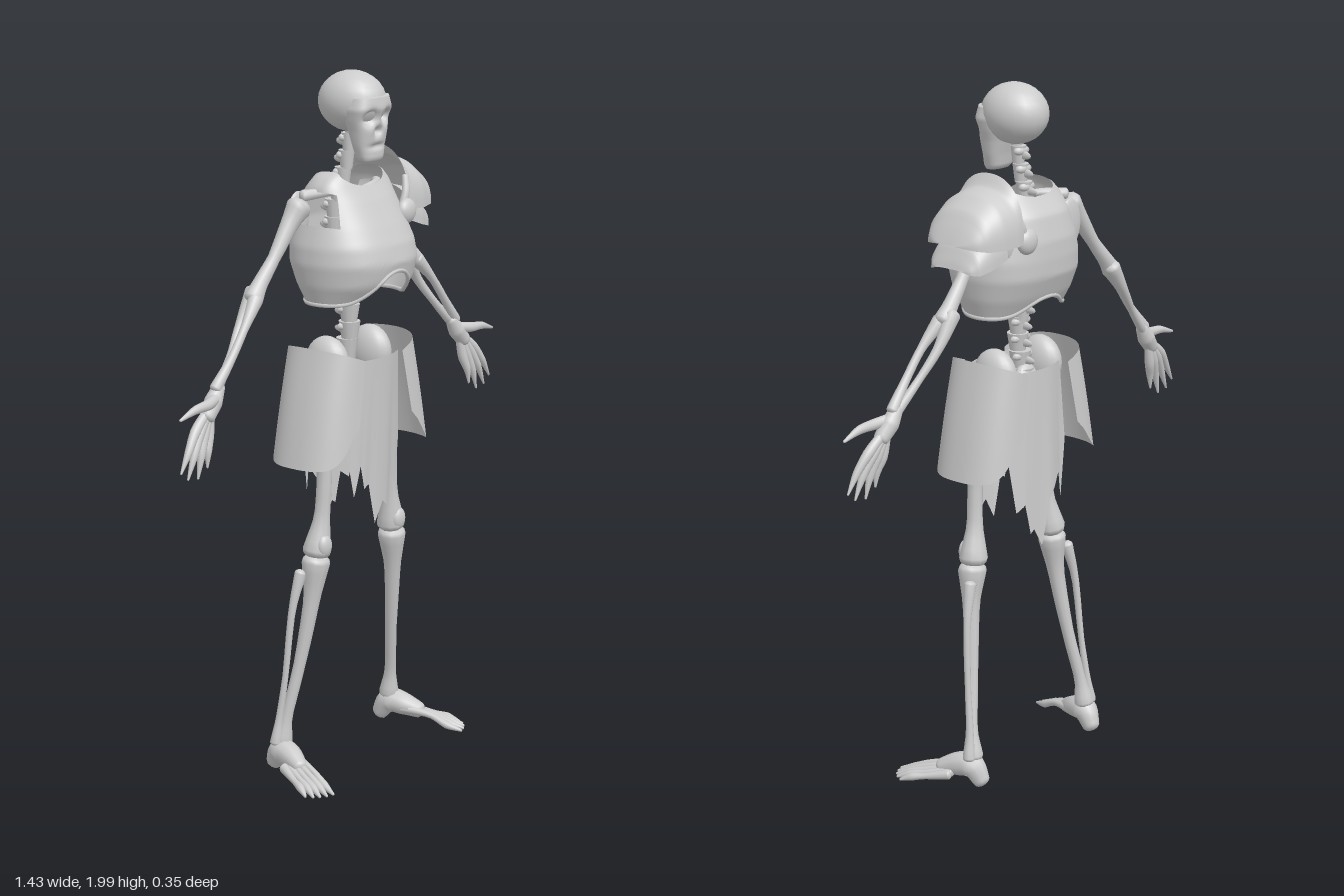
import * as THREE from 'three';
import { mergeVertices } from 'three/addons/utils/BufferGeometryUtils.js';

const V = (x, y, z) => new THREE.Vector3(x, y, z);
const gauss = (dx, dy, r) => Math.exp(-(dx * dx + dy * dy) / (r * r));
const spow = (n, p) => Math.sign(n) * Math.pow(Math.abs(n), p);

// Piecewise-linear lookup in rows [key, a, b, ...]
function lookup(rows, k) {
  let i = 0;
  while (i < rows.length - 2 && k > rows[i + 1][0]) i++;
  const t = THREE.MathUtils.clamp((k - rows[i][0]) / (rows[i + 1][0] - rows[i][0]), 0, 1);
  return rows[i].slice(1).map((a, n) => THREE.MathUtils.lerp(a, rows[i + 1][n + 1], t));
}

// Smooth grid surface from fn(u, v); keep() may leave cells open
function surface(fn, nu, nv, keep = () => true) {
  const pos = [], idx = [];
  for (let i = 0; i <= nu; i++) for (let j = 0; j <= nv; j++) pos.push(...fn(i / nu, j / nv));
  for (let i = 0; i < nu; i++) for (let j = 0; j < nv; j++) {
    if (!keep((i + 0.5) / nu, (j + 0.5) / nv)) continue;
    const a = i * (nv + 1) + j, b = a + nv + 1;
    idx.push(a, b, a + 1, b, b + 1, a + 1);
  }
  let g = new THREE.BufferGeometry();
  g.setAttribute('position', new THREE.Float32BufferAttribute(pos, 3));
  g.setIndex(idx);
  g = mergeVertices(g, 1e-5);
  g.computeVertexNormals();
  return g;
}

// Bone: round sections of changing radius along a curve, with domed ends
function bone(pts, radii, rows = 22, sides = 10) {
  const cap = 4;
  const curve = new THREE.CatmullRomCurve3(pts.map(p => V(...p)));
  const dir = curve.getPoint(1).sub(curve.getPoint(0)).normalize();
  const ref = Math.abs(dir.z) > 0.8 ? V(0, 1, 0) : V(0, 0, 1);
  const table = radii.map((r, i) => [i / (radii.length - 1), r]);
  return surface((u, v) => {
    const i = Math.round(u * rows);
    const t = THREE.MathUtils.clamp((i - cap) / (rows - 2 * cap), 0, 1);
    const phi = Math.min(i, rows - i, cap) / cap * Math.PI / 2;
    const r = lookup(table, t)[0], ring = r * Math.sin(phi), out = 0.65 * r * Math.cos(phi) * (t < 0.5 ? -1 : 1);
    const T = curve.getTangent(t), N = T.clone().cross(ref).normalize(), B = T.clone().cross(N);
    const a = (Math.round(v * sides) % sides) / sides * Math.PI * 2;
    return curve.getPoint(t).addScaledVector(T, out)
      .addScaledVector(N, ring * Math.cos(a)).addScaledVector(B, ring * Math.sin(a)).toArray();
  }, rows, sides);
}

const blob = (x, y, z, rx, ry, rz) => new THREE.SphereGeometry(1, 20, 14).scale(rx, ry, rz).translate(x, y, z);

export function createModel() {
  const root = new THREE.Group();
  const mat = new THREE.MeshStandardMaterial({ color: 0xcccccc, side: THREE.DoubleSide });
  mat.name = 'paleGrey';
  const add = (name, geo, parent = root) => {
    const m = new THREE.Mesh(geo, mat);
    m.name = name;
    parent.add(m);
  };

  // Skull: cranium, then a face with sunken eyes, nose and mouth
  add('cranium', blob(0, 1.915, -0.003, 0.085, 0.085, 0.101));
  const face = [[1.75, 0.036, 0.078, 0.045], [1.765, 0.044, 0.086, 0.03], [1.80, 0.054, 0.086, 0.022],
    [1.84, 0.062, 0.092, 0.01], [1.87, 0.07, 0.095, 0], [1.90, 0.076, 0.102, 0], [1.94, 0.066, 0.094, 0]];
  add('face', surface((u, v) => {
    const end = v === 0 || v === 1;
    const y = 1.75 + 0.19 * v, a = u * Math.PI * 2;
    const [w, zf, zb] = lookup(face, y);
    const x = end ? 0 : w * spow(Math.cos(a), 0.75);
    let z = end ? (zf + zb) / 2 : (zf + zb) / 2 + (zf - zb) / 2 * spow(Math.sin(a), 0.75);
    if (Math.sin(a) > 0 && !end) z -= 0.034 * gauss(Math.abs(x) - 0.034, y - 1.877, 0.018)
      + 0.025 * gauss(x, y - 1.838, 0.012) + 0.01 * gauss(x * 0.25, y - 1.797, 0.007);
    return [x, y, z];
  }, 56, 36));

  // Spine: stacked vertebrae with side and rear spurs
  const spineLine = new THREE.CatmullRomCurve3([V(0, 1.17, -0.03), V(0, 1.3, -0.012), V(0, 1.45, -0.05),
    V(0, 1.6, -0.07), V(0, 1.72, -0.03), V(0, 1.85, -0.008)]);
  const spine = new THREE.Group();
  spine.name = 'spine';
  root.add(spine);
  for (let i = 0; i <= 14; i++) {
    const p = spineLine.getPointAt(i / 14), k = 1 - 0.35 * i / 14;
    add('vertebra', new THREE.CylinderGeometry(0.033 * k, 0.024 * k, 0.052, 12).translate(p.x, p.y, p.z), spine);
    add('sideSpur', new THREE.SphereGeometry(1, 10, 6).scale(0.045 * k, 0.014, 0.014).translate(0, p.y + 0.012, p.z - 0.01), spine);
    add('rearSpur', new THREE.SphereGeometry(1, 8, 6).scale(0.007, 0.012, 0.034 * k).translate(0, p.y, p.z - 0.022), spine);
  }

  // Breastplate: open shell with armholes, arched hem and neckline
  const chest = [[1.36, 0.16, 0.10, 0.09], [1.42, 0.18, 0.148, 0.125], [1.48, 0.19, 0.162, 0.15], [1.53, 0.187, 0.15, 0.153],
    [1.58, 0.172, 0.125, 0.152], [1.65, 0.15, 0.085, 0.135], [1.69, 0.14, 0.058, 0.102], [1.715, 0.118, 0.045, 0.085], [1.728, 0.09, 0.04, 0.08]];
  const shell = (u, v) => {
    const a = u * Math.PI * 2, c = Math.cos(a), s = Math.sin(a);
    const top = 1.728 - (s > 0 ? 0.04 : 0.03) * Math.abs(s) ** 3;
    const bottom = 1.368 + (s > 0 ? 0.09 : 0.05) * Math.exp(-((c / 0.42) ** 2));
    const y = bottom + (top - bottom) * v, [w, zf, zb] = lookup(chest, y);
    return [w * spow(c, 0.8), y, s > 0 ? zf * s : zb * spow(s, 0.85)];
  };
  add('breastplate', surface(shell, 72, 36, (u, v) =>
    !(Math.abs(Math.cos(u * Math.PI * 2)) > 0.84 && v > 0.6 && v < 0.86)));
  const hem = Array.from({ length: 48 }, (_, i) => V(...shell(i / 48, 0)));
  add('hemRim', new THREE.TubeGeometry(new THREE.CatmullRomCurve3(hem, true), 96, 0.006, 6, true));

  // Pauldron on the left shoulder: two overlapping half-domes with discs
  const dome = (rows, zc) => surface((u, v) => {
    const [x, top, base, half] = lookup(rows, v), a = u * Math.PI;
    return [x, base + (top - base) * Math.pow(Math.sin(a), 0.75), zc + half * spow(Math.cos(a), 0.9)];
  }, 32, 24);
  add('upperPauldron', dome([[0, 0.155, 1.778, 1.6, 0.122], [0.15, 0.178, 1.745, 1.597, 0.125], [0.45, 0.23, 1.732, 1.595, 0.122],
    [0.7, 0.28, 1.697, 1.597, 0.108], [0.85, 0.308, 1.655, 1.602, 0.088], [0.95, 0.324, 1.625, 1.607, 0.06], [1, 0.33, 1.611, 1.61, 0.03]], -0.045));
  add('lowerPauldron', dome([[0, 0.19, 1.66, 1.56, 0.1], [0.4, 0.25, 1.645, 1.54, 0.098],
    [0.75, 0.29, 1.6, 1.53, 0.088], [0.92, 0.31, 1.56, 1.533, 0.07], [1, 0.316, 1.542, 1.54, 0.045]], -0.04));
  for (const z of [0.09, -0.155])
    add('pauldronDisc', blob(0.127, 1.6, z, 0.036, 0.036, 0.022));
  for (const z of [0.07, -0.15])
    add('pauldronStrap', bone([[0.13, 1.6, z], [0.15, 1.65, z], [0.162, 1.69, z * 0.85]], [0.012, 0.012, 0.01]));

  // Torn loincloths
  const cloth = (z0, z1, edge) => surface((u, v) => {
    const x = -0.115 + 0.235 * u, [end] = lookup(edge, x);
    const bow = 1 - 0.22 * (x / 0.11) ** 2;
    return [x * (0.9 + 0.12 * v), 1.205 + (end - 1.205) * v, (z0 + (z1 - z0) * v) * bow + 0.003 * Math.sin(x * 60) * v];
  }, 94, 16);
  add('frontCloth', cloth(0.105, 0.088, [[-0.115, 0.96], [-0.092, 0.81], [-0.07, 0.9], [-0.055, 0.83], [-0.035, 0.84],
    [-0.01, 0.72], [0.02, 0.78], [0.045, 0.76], [0.07, 0.85], [0.1, 0.81], [0.12, 0.94]]));
  add('rearCloth', cloth(-0.105, -0.115, [[-0.115, 0.97], [-0.09, 0.80], [-0.075, 0.88], [-0.04, 0.84], [-0.02, 0.82],
    [0.01, 0.685], [0.04, 0.74], [0.055, 0.73], [0.075, 0.82], [0.1, 0.8], [0.12, 0.95]]));
  add('sacrum', blob(0, 1.14, -0.04, 0.05, 0.07, 0.03));
  add('pubicBone', bone([[-0.09, 1.08, 0.01], [0, 1.05, 0.045], [0.09, 1.08, 0.01]], [0.025, 0.02, 0.025]));

  // Parts mirrored on both sides
  for (const s of [1, -1]) {
    const side = new THREE.Group();
    side.name = s > 0 ? 'leftSide' : 'rightSide';
    root.add(side);
    const limb = (name, pts, radii) => add(name, bone(pts.map(([x, y, z]) => [x * s, y, z]), radii), side);
    const lump = (name, x, ...rest) => add(name, blob(x * s, ...rest), side);

    // Hip bone and hip plate
    lump('hipBone', 0.098, 1.19, -0.015, 0.045, 0.077, 0.07);
    add('hipPlate', surface((u, v) => {
      const k = u * 2 - 1, a = k * Math.PI / 2, c = Math.pow(Math.max(0, Math.cos(a)), 0.65);
      const inner = 0.085 + 0.035 * v, outer = 0.188 + 0.072 * v + 0.004 * Math.sin(v * Math.PI);
      const top = 1.21 + 0.038 * c, bottom = 0.918 + 0.11 * Math.abs(k) ** 5;
      return [s * (inner + (outer - inner) * c), top + (bottom - top) * v, -0.008 + (0.118 + 0.008 * v) * spow(Math.sin(a), 0.85)];
    }, 32, 16), side);

    // Leg
    limb('femur', [[0.1, 1.09, 0], [0.145, 1.05, 0], [0.15, 0.9, 0.015], [0.158, 0.76, 0.012], [0.172, 0.665, 0.005]],
      [0.035, 0.032, 0.022, 0.023, 0.042]);
    lump('kneecap', 0.172, 0.68, 0.032, 0.026, 0.034, 0.018);
    limb('tibia', [[0.177, 0.628, 0.005], [0.188, 0.53, 0], [0.215, 0.33, -0.025], [0.245, 0.17, -0.05], [0.252, 0.1, -0.06]],
      [0.042, 0.025, 0.018, 0.017, 0.03]);
    limb('fibula', [[0.215, 0.6, -0.02], [0.24, 0.5, -0.03], [0.255, 0.3, -0.045], [0.265, 0.17, -0.06], [0.275, 0.1, -0.065]],
      [0.018, 0.011, 0.009, 0.011, 0.018]);

    // Foot with five toes
    limb('heel', [[0.25, 0.03, -0.09], [0.257, 0.07, -0.06], [0.268, 0.065, -0.015], [0.285, 0.05, 0.03]],
      [0.026, 0.038, 0.034, 0.024]);
    [[0.308, 0.17], [0.328, 0.163], [0.345, 0.152], [0.358, 0.138], [0.368, 0.118]].forEach(([x, z], i) => {
      const x0 = 0.252 + i * 0.013;
      limb('toe', [[x0, 0.058 - i * 0.004, -0.01], [(x0 + x) / 2, 0.045 - i * 0.004, z * 0.45], [x0 * 0.25 + x * 0.75, 0.022, z * 0.75], [x, 0.01, z]],
        [0.015, 0.009, 0.012, 0.004]);
    });

    // Shoulder girdle and arm
    limb('collarbone', [[0.03, 1.665, 0.01], [0.09, 1.675, 0.005], [0.165, 1.668, -0.045]], [0.012, 0.01, 0.017]);
    lump('shoulderBlade', 0.12, 1.6, -0.1, 0.045, 0.07, 0.014);
    limb('humerus', [[0.185, 1.638, -0.045], [0.215, 1.6, -0.05], [0.28, 1.51, -0.055], [0.335, 1.445, -0.06], [0.36, 1.413, -0.06]],
      [0.036, 0.026, 0.018, 0.022, 0.028]);
    limb('ulna', [[0.345, 1.425, -0.075], [0.4, 1.345, -0.075], [0.46, 1.27, -0.06], [0.53, 1.195, -0.045]],
      [0.024, 0.014, 0.011, 0.014]);
    limb('radius', [[0.365, 1.41, -0.05], [0.425, 1.345, -0.038], [0.485, 1.27, -0.035], [0.545, 1.2, -0.04]],
      [0.022, 0.012, 0.012, 0.017]);

    // Hand
    limb('wrist', [[0.53, 1.2, -0.042], [0.555, 1.165, -0.04], [0.585, 1.13, -0.036]], [0.018, 0.026, 0.022]);
    limb('thumb', [[0.55, 1.175, -0.035], [0.6, 1.168, -0.02], [0.65, 1.165, -0.018], [0.71, 1.148, -0.02]],
      [0.016, 0.015, 0.012, 0.004]);
    [[0.705, 1.0], [0.678, 0.978], [0.638, 0.972], [0.6, 0.995]].forEach(([x, y], i) => {
      const kx = 0.632 - i * 0.017, ky = 1.102 - i * 0.008;
      limb('finger', [[0.565, 1.155, -0.04], [kx, ky, -0.035], [(kx + x) / 2 + 0.004, (ky + y) / 2, -0.027], [x, y, -0.025]],
        [0.012, 0.015, 0.011, 0.003]);
    });
  }
  return root;
}
